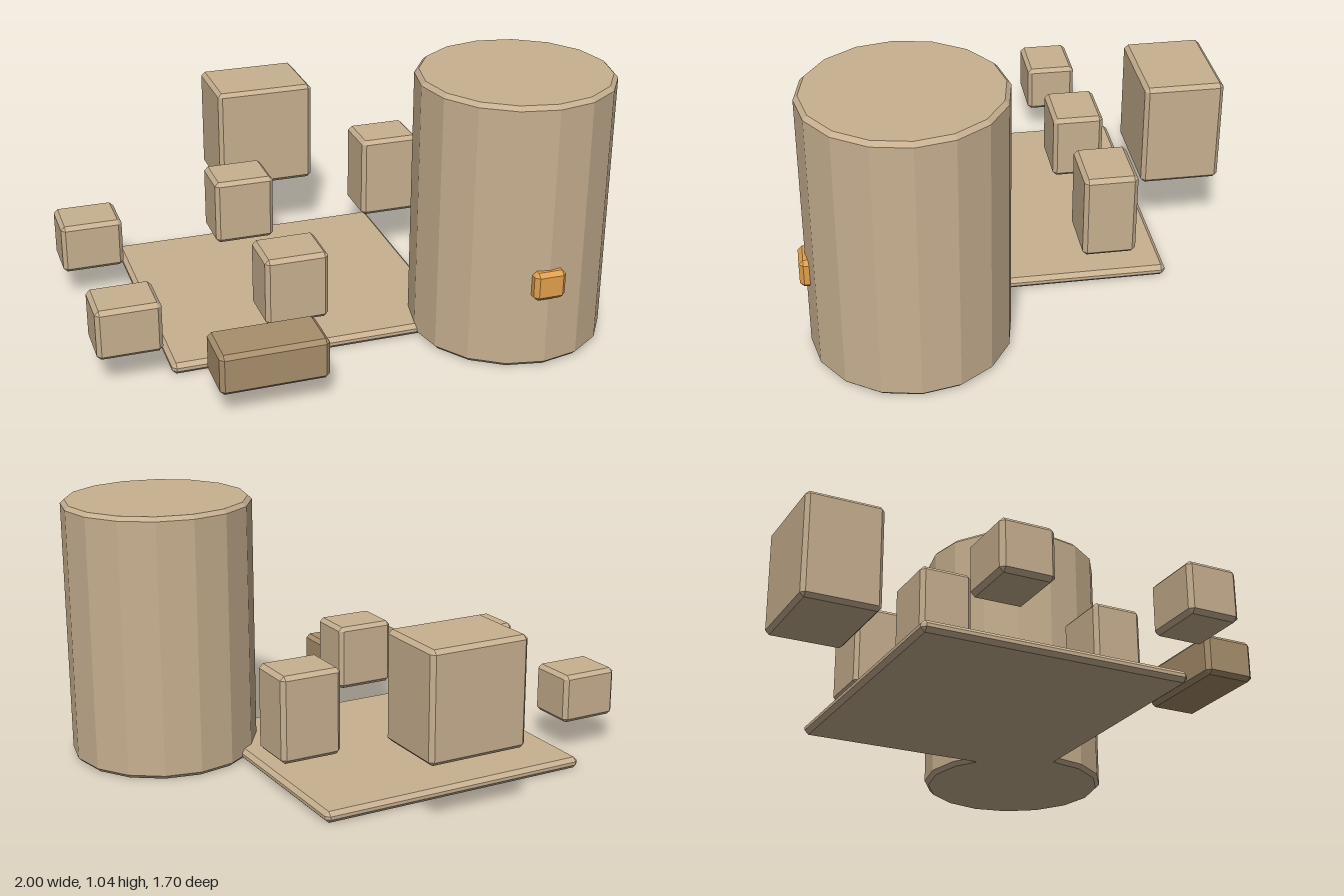
import * as THREE from 'three';
import { ConvexGeometry } from 'three/addons/geometries/ConvexGeometry.js';

const BEVEL = 0.016;

const material = (color) => new THREE.MeshStandardMaterial({ color, flatShading: true });

// Box with chamfered edges, given by its [min, max] range on each axis
function chamferedBox(name, xr, yr, zr, mat) {
  const half = [xr, yr, zr].map(([a, b]) => (b - a) / 2);
  const points = [];
  for (const sx of [-1, 1]) for (const sy of [-1, 1]) for (const sz of [-1, 1]) {
    const sign = [sx, sy, sz];
    // each corner is cut into three points, one lying on each face
    for (let face = 0; face < 3; face++) {
      points.push(new THREE.Vector3(...half.map((h, i) => sign[i] * (i === face ? h : h - BEVEL))));
    }
  }
  const mesh = new THREE.Mesh(new ConvexGeometry(points), mat);
  mesh.name = name;
  mesh.position.set(...[xr, yr, zr].map(([a, b]) => (a + b) / 2));
  return mesh;
}

export function createModel() {
  const group = new THREE.Group();
  group.name = 'blockArrangement';
  const tan = material(0xc8b090);
  const brown = material(0xa88f6c);
  const orange = material(0xe2a04c);

  // Thin floor plate
  group.add(chamferedBox('basePlate', [-0.72, 0.415], [0, 0.045], [-0.58, 0.465], tan));

  // Sixteen-sided drum with chamfered rims
  const r = 0.375, h = 1.045;
  const profile = [
    [0, 0], [r - BEVEL, 0], [r, BEVEL], [r, h - BEVEL], [r - BEVEL, h], [0, h],
  ].map(([x, y]) => new THREE.Vector2(x, y));
  const drum = new THREE.Mesh(new THREE.LatheGeometry(profile, 16), tan);
  drum.name = 'drum';
  drum.position.set(0.622, 0, 0.445);
  group.add(drum);

  // Small latch on the drum's front
  group.add(chamferedBox('latch', [0.557, 0.682], [0.287, 0.4], [0.76, 0.845], orange));

  // Large block at the back
  group.add(chamferedBox('backBlock', [-0.263, 0.145], [0.265, 0.695], [-0.85, -0.535], tan));

  // Floating blocks: columns rise towards the left, the front row has two
  const columns = [
    { x: [-1, -0.755], y: [0.13, 0.33] },
    { x: [-0.365, -0.12], y: [0.163, 0.433] },
    { x: [0.27, 0.515], y: [0.197, 0.535] },
  ];
  columns.forEach(({ x, y }, i) => {
    group.add(chamferedBox('rearBlock' + (i + 1), x, y, [-0.43, -0.225], tan));
    if (i < 2) group.add(chamferedBox('frontBlock' + (i + 1), x, y, [0.295, 0.497], tan));
  });

  // Low dark bar at the front
  group.add(chamferedBox('frontBar', [-0.627, -0.22], [0.1, 0.26], [0.615, 0.817], brown));

  return group;
}
